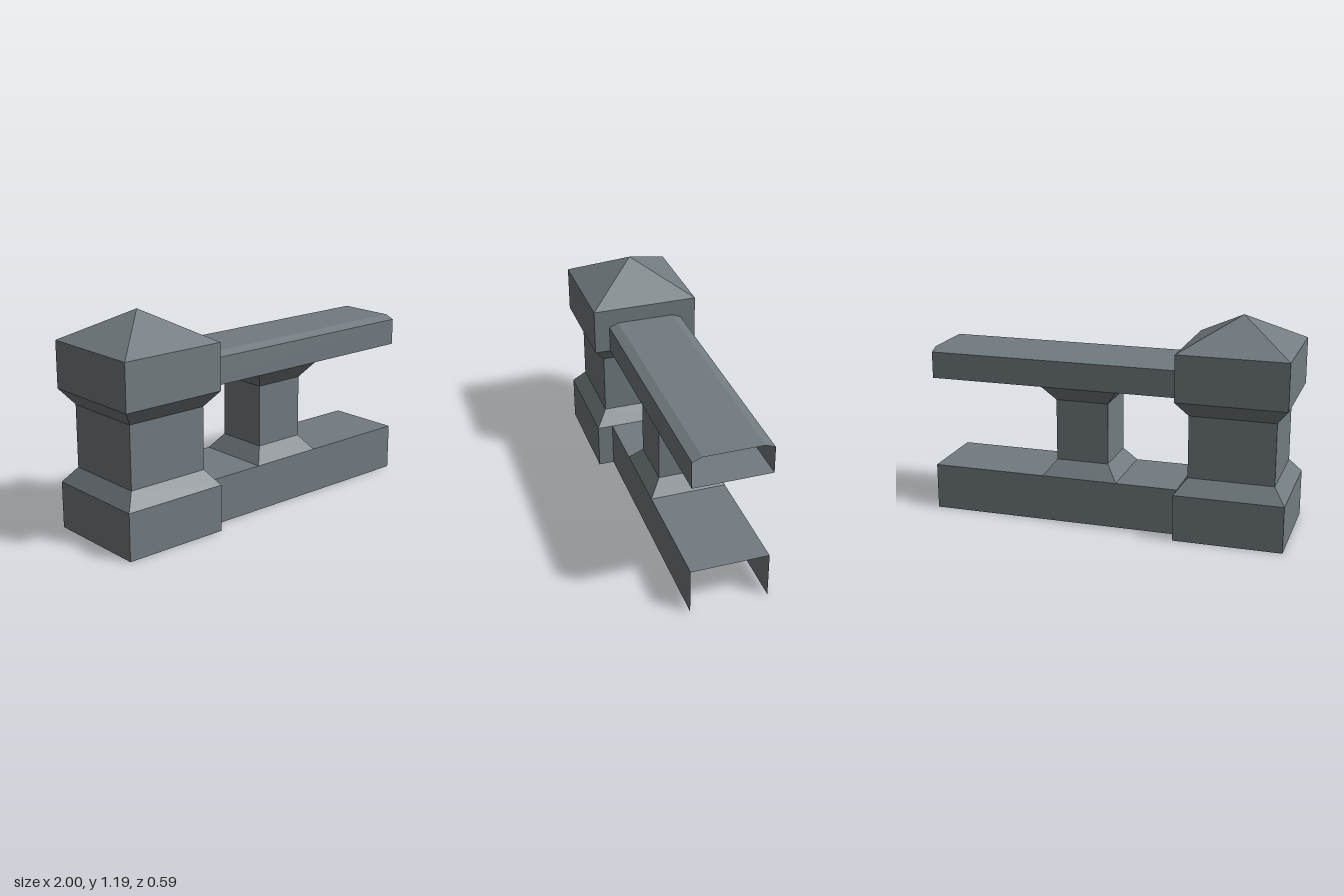
import * as THREE from 'three';

const stone = new THREE.MeshStandardMaterial({ color: 0x727b80, side: THREE.DoubleSide });
stone.name = 'stone';

function part(name, geometry) {
  geometry.computeVertexNormals();
  const mesh = new THREE.Mesh(geometry, stone);
  mesh.name = name;
  return mesh;
}

// Square shell from a profile of [half width, height], bottom to top
function squareShell(name, x, profile) {
  const points = profile.map(([h, y]) => new THREE.Vector2(h * Math.SQRT2, y));
  const mesh = part(name, new THREE.LatheGeometry(points, 4, Math.PI / 4).toNonIndexed());
  mesh.position.x = x;
  return mesh;
}

// Open-ended beam along x from a cross-section of [z, y], front to back
function beam(name, x0, x1, section) {
  const v = [];
  for (let i = 0; i < section.length - 1; i++) {
    const [pz, py] = section[i], [qz, qy] = section[i + 1];
    const a = [x0, py, pz], b = [x1, py, pz], c = [x1, qy, qz], d = [x0, qy, qz];
    v.push(...a, ...b, ...c, ...a, ...c, ...d);
  }
  const geometry = new THREE.BufferGeometry();
  geometry.setAttribute('position', new THREE.Float32BufferAttribute(v, 3));
  return part(name, geometry);
}

export function createModel() {
  const model = new THREE.Group();
  model.name = 'balustradeEnd';

  // End pillar with flared base, flared cap and pyramid top
  model.add(squareShell('pillar', -0.703, [
    [0.297, 0], [0.297, 0.257], [0.233, 0.341], [0.233, 0.684],
    [0.297, 0.768], [0.297, 1.023],
  ]));
  model.add(squareShell('pillarRoof', -0.703, [[0.297, 1.023], [0, 1.192]]));

  // Short post between plinth and rail
  model.add(squareShell('baluster', 0.147, [
    [0.211, 0.257], [0.147, 0.341], [0.147, 0.684], [0.211, 0.768],
  ]));

  // Plinth, open underneath, running into the pillar
  model.add(beam('plinth', -0.7, 1, [
    [0.211, 0], [0.211, 0.257], [-0.211, 0.257], [-0.211, 0],
  ]));

  // Closed handrail with bevelled top edges
  model.add(beam('handrail', -0.7, 1, [
    [0.211, 0.768], [0.211, 0.916], [0.16, 0.937],
    [-0.16, 0.937], [-0.211, 0.916], [-0.211, 0.768], [0.211, 0.768],
  ]));

  return model;
}
